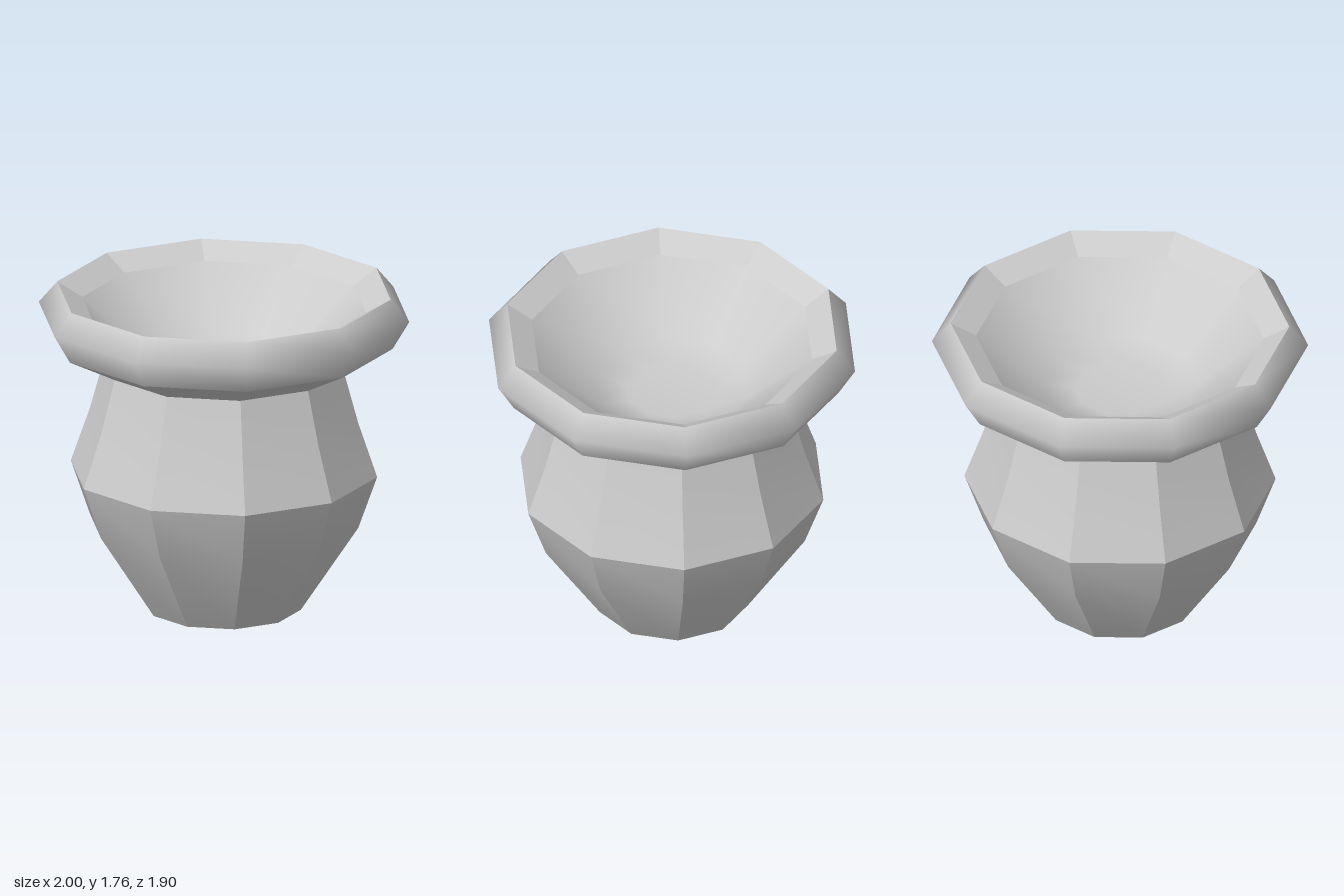
import * as THREE from 'three';
import { toCreasedNormals } from 'three/addons/utils/BufferGeometryUtils.js';

const SIDES = 10;

// Ten-sided turned surface with a corner on the +x axis.
function turned(name, profile, material, crease) {
  const points = profile.map(([r, y]) => new THREE.Vector2(r, y));
  let geometry = new THREE.LatheGeometry(points, SIDES, Math.PI / 2);
  if (crease) geometry = toCreasedNormals(geometry, crease);
  const mesh = new THREE.Mesh(geometry, material);
  mesh.name = name;
  return mesh;
}

export function createModel() {
  const group = new THREE.Group();
  group.name = 'pot';
  const material = new THREE.MeshStandardMaterial({ color: 0xcccccc, side: THREE.DoubleSide });

  // Faceted body: flat base, belly, neck and flared underside of the rim
  group.add(turned('body', [
    [0, 0], [0.415, 0], [0.725, 0.475], [0.827, 0.765],
    [0.725, 1.06], [0.645, 1.35], [0.91, 1.485],
  ], material, 0.5));

  // Smoothly shaded rim band
  group.add(turned('rim', [[0.91, 1.485], [1, 1.64], [0.9, 1.76]], material));

  // Flat bevel leading into the opening
  group.add(turned('innerBevel', [[0.9, 1.76], [0.765, 1.68]], material, 0.2));

  // Smooth shallow bowl
  group.add(turned('bowl', [
    [0.765, 1.68], [0.42, 1.38], [0.24, 1.34], [0, 1.34],
  ], material));

  return group;
}
